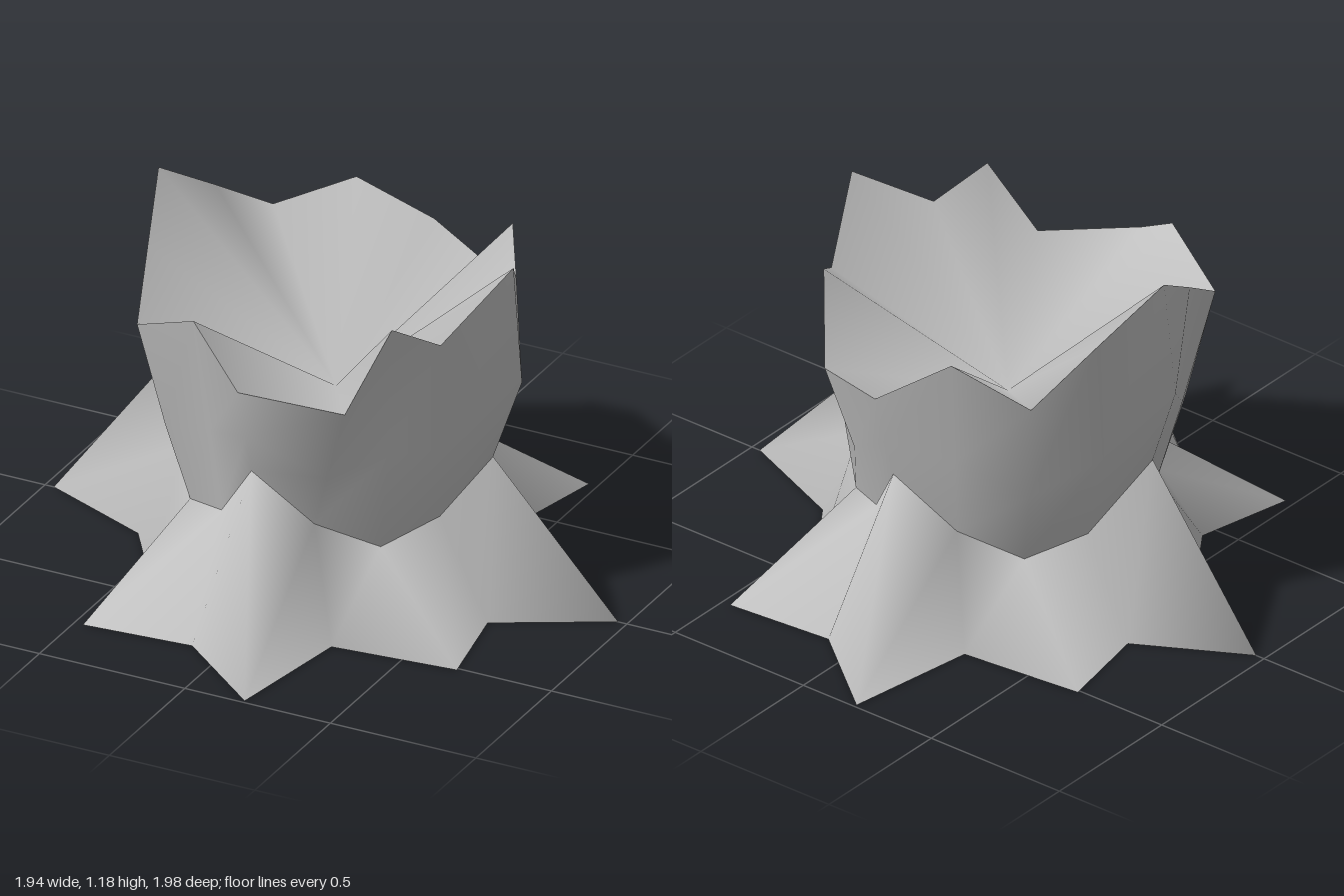
import * as THREE from 'three';
import { mergeVertices } from 'three/addons/utils/BufferGeometryUtils.js';

const DOWN = 0;

// Smooth surface through closed rings of equal length, lowest ring first
function loft(rings) {
  const n = rings[0].length, index = [];
  for (let r = 0; r < rings.length - 1; r++) {
    for (let i = 0; i < n; i++) {
      const j = (i + 1) % n;
      const a = r * n + i, b = r * n + j, c = a + n, d = b + n;
      index.push(a, c, b, b, c, d);
    }
  }
  return surface(rings.flat(), index);
}

// Smooth surface from a centre point out to a ring
function fan(centre, ring) {
  const n = ring.length, index = [];
  for (let i = 0; i < n; i++) index.push(0, 1 + (i + 1) % n, 1 + i);
  return surface([centre, ...ring], index);
}

function surface(points, index) {
  let g = new THREE.BufferGeometry();
  g.setAttribute('position', new THREE.Float32BufferAttribute(points.flat(), 3));
  g.setIndex(index);
  g = mergeVertices(g);
  g.computeVertexNormals();
  return g;
}

// Half turn about the vertical axis
const halfTurn = (half) => [...half, ...half.map(([x, y, z]) => [-x, y, -z])];

export function createModel() {
  const grey = new THREE.MeshStandardMaterial({ color: 0xc0c0c0, side: THREE.DoubleSide });
  grey.name = 'plain grey';
  const model = new THREE.Group();
  model.name = 'flower';
  const add = (name, geometry) => {
    const mesh = new THREE.Mesh(geometry, grey);
    mesh.name = name;
    model.add(mesh);
  };

  // Wavy waist where the skirt meets the cup
  const waist = halfTurn([
    [0.54, 0.465, 0], [0.44, 0.31, 0.16], [0.32, 0.25, 0.32], [0.16, 0.35, 0.45],
    [0, 0.545, 0.56], [-0.17, 0.31, 0.43], [-0.33, 0.265, 0.33], [-0.44, 0.35, 0.18],
  ]);
  waist[8] = [-0.565, 0.545, 0];

  // Star-shaped hem: pointed tips with valleys between
  const hem = halfTurn([
    [0.97, DOWN, 0], [0.62, DOWN, 0.19], [0.68, DOWN, 0.51], [0.27, DOWN, 0.55],
    [0.2, DOWN, 0.99], [-0.11, DOWN, 0.74], [-0.47, DOWN, 0.77],
    [-0.4, DOWN, 0.45], [-0.6, DOWN, 0.155],
  ]);
  // the widest valley has two hem points under one waist point
  const skirtTop = waist.flatMap((p, i) => (i % 8 === 7 ? [p, p] : [p]));
  add('skirt', loft([hem, skirtTop]));

  // Jagged rim, mirrored front to back
  const rimHalf = [
    [0.61, 1.13, 0], [0.49, 0.95, 0.25], [0.4, 1.05, 0.4], [0.3, 0.79, 0.52],
    [0, 0.855, 0.65], [-0.21, 1.0, 0.54], [-0.45, 0.89, 0.45], [-0.53, 1.04, 0.225],
    [-0.61, 1.185, 0],
  ];
  const rim = [...rimHalf, ...rimHalf.slice(1, 8).reverse().map(([x, y, z]) => [x, y, -z])];

  // Belly of the cup, bulging at the two side petals
  const belly = waist.map((p, i) => {
    const q = p.map((v, k) => v + (rim[i][k] - v) * 0.42);
    const c = Math.cos(i * Math.PI / 8);
    q[0] += 0.07 * Math.sign(c) * c ** 6;
    return q;
  });
  add('cupWall', loft([waist, belly, rim]));

  // Pleated funnel inside the cup
  add('cupFunnel', fan([0, 0.58, 0], rim));
  return model;
}
